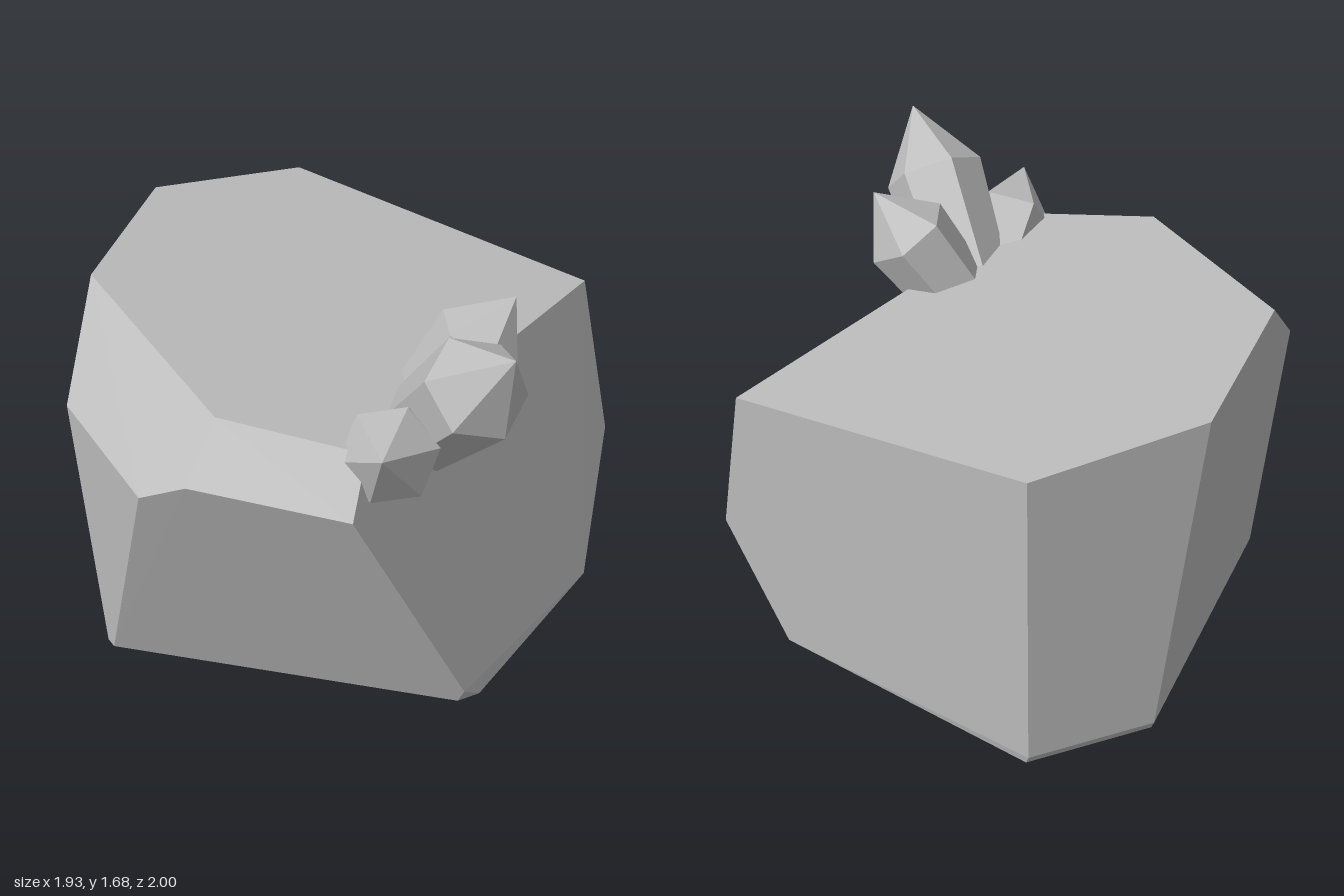
import * as THREE from 'three';
import { ConvexGeometry } from 'three/addons/geometries/ConvexGeometry.js';

const vec = (p) => new THREE.Vector3(...p);

// Six-sided crystal: buried base ring, wider shoulder ring, pointed tip.
// corner is one shoulder vertex and fixes both the radius and the spin.
function crystal({ tip, shoulder, corner, depth, taper }) {
  const top = vec(tip), mid = vec(shoulder);
  const rise = top.clone().sub(mid);
  const axis = rise.clone().normalize();
  const spoke = vec(corner).sub(mid).projectOnPlane(axis);
  const base = mid.clone().addScaledVector(rise, -depth);
  const points = [top];
  for (let i = 0; i < 6; i++) {
    const arm = spoke.clone().applyAxisAngle(axis, i * Math.PI / 3);
    points.push(mid.clone().add(arm), base.clone().addScaledVector(arm, taper));
  }
  return new ConvexGeometry(points);
}

export function createModel() {
  const group = new THREE.Group();
  const stone = new THREE.MeshStandardMaterial({ color: 0xbcbcbc });
  stone.name = 'grey stone';

  const add = (name, geometry) => {
    const mesh = new THREE.Mesh(geometry, stone);
    mesh.name = name;
    group.add(mesh);
  };

  // Faceted boulder as the hull of its corners
  const corners = [
    // sloping top
    [-0.97, 1.43, -0.49], [-0.89, 1.44, 0.25], [-0.13, 1.34, 0.82],
    [0.40, 1.257, 0.73], [0.77, 1.16, -0.84], [-0.54, 1.355, -1.0],
    // lower edge of the front bevels
    [-0.82, 1.105, 0.64], [-0.36, 1.045, 0.99], [-0.17, 1.145, 1.0], [0.41, 1.07, 0.89],
    // small chips near the foot
    [0.92, 0.5, -0.8], [0.735, 0.075, 0.52], [-0.525, 0.04, -0.965], [-0.855, 0.04, -0.575],
    // foot
    [-0.72, 0, 0.66], [-0.68, 0, 0.69], [0.705, 0, 0.5], [0.77, 0, 0.43],
    [0.963, 0, -0.43], [0.65, 0, -0.82], [-0.51, 0, -0.955], [-0.84, 0, -0.565],
  ];
  add('boulder', new ConvexGeometry(corners.map(vec)));

  // Crystal cluster growing from the upper right edge
  add('largeCrystal', crystal({
    tip: [0.88, 1.685, 0.62], shoulder: [0.72, 1.47, 0.51],
    corner: [0.75, 1.55, 0.33], depth: 2.2, taper: 0.8,
  }));
  add('backCrystal', crystal({
    tip: [0.725, 1.59, 0.07], shoulder: [0.615, 1.41, 0.125],
    corner: [0.69, 1.325, -0.01], depth: 2.2, taper: 0.8,
  }));
  add('frontCrystal', crystal({
    tip: [0.515, 1.365, 0.9], shoulder: [0.468, 1.243, 0.69],
    corner: [0.605, 1.135, 0.74], depth: 2, taper: 0.7,
  }));

  return group;
}
